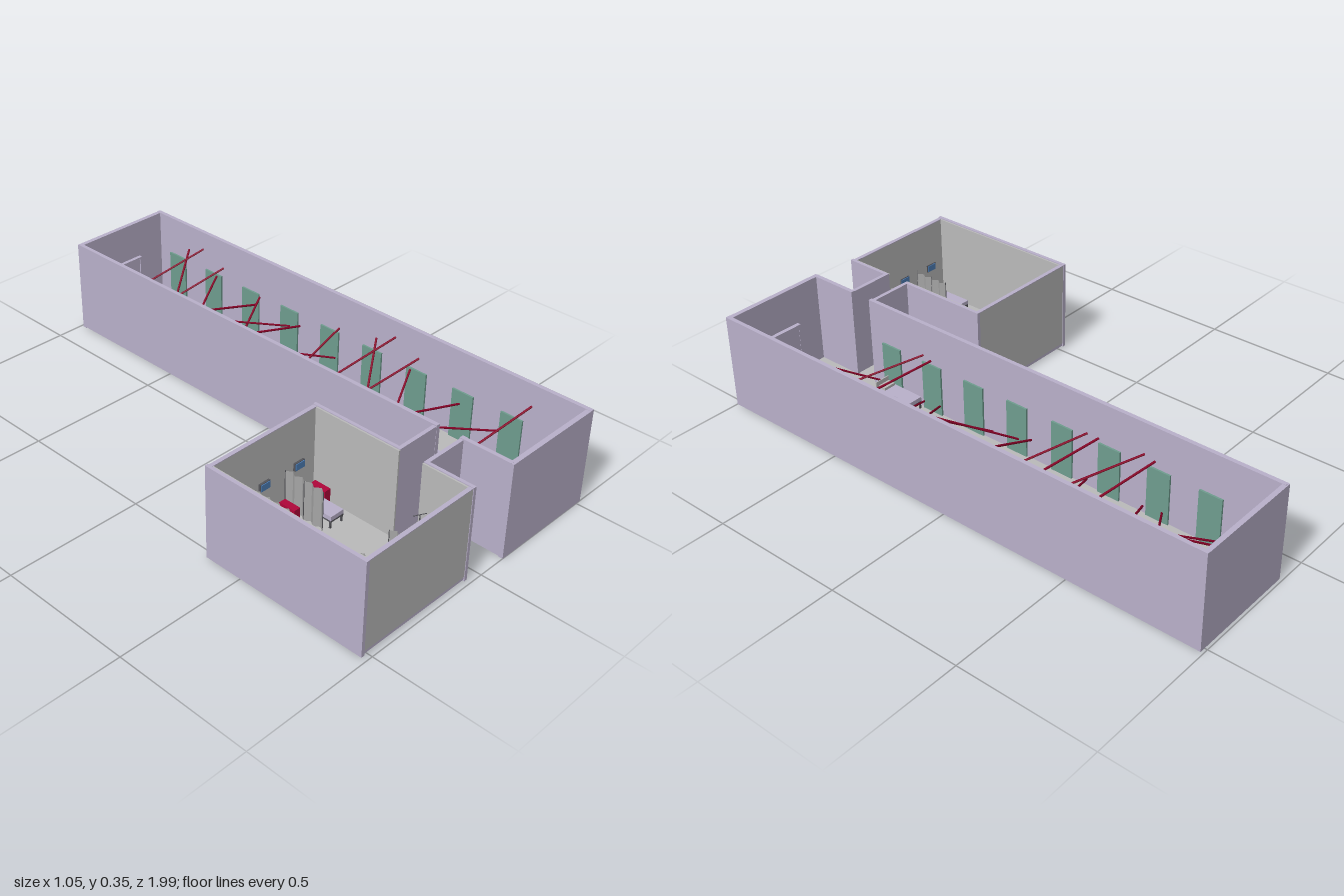
import * as THREE from 'three';

const mat = (name, color, side = THREE.FrontSide) => {
  const m = new THREE.MeshStandardMaterial({ color, side });
  m.name = name;
  return m;
};

export function createModel() {
  const lilac = mat('lilac wall', 0xbab1cb);
  const grey = mat('grey plaster', 0xbbbbbb);
  const cloth = mat('screen cloth', 0xa9a9a9, THREE.DoubleSide);
  const red = mat('crimson', 0xb0063a);
  const beamRed = mat('beam red', 0x8c0028);
  const green = mat('door green', 0x6f9d8f);
  const blue = mat('monitor blue', 0x4f7fb8);
  const metal = mat('dark metal', 0x55555a);

  const model = new THREE.Group();
  const group = (name, parent = model) => {
    const g = new THREE.Group();
    g.name = name;
    parent.add(g);
    return g;
  };
  // Box given by its lower and upper limits on each axis
  const box = (parent, name, m, x0, x1, y0, y1, z0, z1) => {
    const mesh = new THREE.Mesh(new THREE.BoxGeometry(x1 - x0, y1 - y0, z1 - z0), m);
    mesh.position.set((x0 + x1) / 2, (y0 + y1) / 2, (z0 + z1) / 2);
    mesh.name = name;
    parent.add(mesh);
    return mesh;
  };
  // Thin round bar between two points
  const bar = (parent, name, m, a, b, r) => {
    const p = new THREE.Vector3(...a), q = new THREE.Vector3(...b);
    const mesh = new THREE.Mesh(new THREE.CylinderGeometry(r, r, p.distanceTo(q), 6), m);
    mesh.position.copy(p).add(q).multiplyScalar(0.5);
    mesh.quaternion.setFromUnitVectors(new THREE.Vector3(0, 1, 0), q.sub(p).normalize());
    mesh.name = name;
    parent.add(mesh);
  };

  // Long hall, with a gap in one wall for the passage
  const hall = group('hall');
  box(hall, 'hallFloor', grey, 0.115, 0.51, 0.006, 0.016, -0.98, 0.985);
  box(hall, 'carpet', lilac, 0.22, 0.4, 0.016, 0.019, -0.96, 0.96);
  box(hall, 'hallRightWall', lilac, 0.505, 0.52, 0, 0.353, -0.99, 1);
  box(hall, 'hallLeftWallLong', lilac, 0.107, 0.122, 0.003, 0.353, -0.985, 0.713);
  box(hall, 'hallLeftWallShort', lilac, 0.107, 0.122, 0.003, 0.353, 0.8, 0.99);
  box(hall, 'hallBackWall', lilac, 0.107, 0.505, 0, 0.352, -0.99, -0.973);
  box(hall, 'hallFrontWall', lilac, 0.107, 0.505, 0, 0.352, 0.982, 1);

  // Green doors along both long walls
  for (let i = 0; i < 10; i++) {
    const zr = 0.92 - i * 0.199;
    box(hall, 'sideDoor', green, 0.498, 0.506, 0.016, 0.205, zr - 0.043, zr + 0.043);
    if (i < 9) {
      const zl = 0.61 - i * 0.193;
      box(hall, 'sideDoor', green, 0.121, 0.129, 0.016, 0.205, zl - 0.043, zl + 0.043);
    }
  }

  // Framed end doors
  for (const z of [-0.967, 0.974]) {
    const f = group('endDoor', hall);
    box(f, 'endDoorPanel', lilac, 0.235, 0.385, 0.016, 0.2, z - 0.007, z + 0.003);
    for (const x of [0.228, 0.383]) box(f, 'endDoorPost', lilac, x, x + 0.009, 0.016, 0.209, z - 0.008, z + 0.008);
    box(f, 'endDoorLintel', lilac, 0.228, 0.392, 0.2, 0.209, z - 0.008, z + 0.008);
  }

  // Crossing beams: start z, start y, end z, end y
  const beams = [
    [-0.94, 0.07, -0.72, 0.29], [-0.8, 0.05, -0.61, 0.25], [-0.565, 0.05, -0.8, 0.26],
    [-0.49, 0.04, -0.65, 0.2], [-0.53, 0.23, -0.44, 0.16], [-0.49, 0.24, -0.265, 0.14],
    [-0.265, 0.04, -0.42, 0.2], [-0.31, 0.22, -0.215, 0.16], [-0.265, 0.22, -0.04, 0.1],
    [-0.03, 0.09, -0.025, 0.23], [0.02, 0.07, 0.23, 0.3], [0.14, 0.05, 0.335, 0.26],
    [0.385, 0.05, 0.145, 0.26], [0.46, 0.04, 0.3, 0.2], [0.42, 0.22, 0.515, 0.16],
    [0.455, 0.23, 0.68, 0.13], [0.62, 0.05, 0.795, 0.28],
  ];
  const beamGroup = group('beams', hall);
  for (const [z0, y0, z1, y1] of beams) bar(beamGroup, 'beam', beamRed, [0.124, y0, z0], [0.495, y1, z1], 0.004);

  // Passage between hall and ward
  const passage = group('passage');
  box(passage, 'passageFloor', grey, -0.06, 0.115, 0.006, 0.016, 0.7, 0.815);
  box(passage, 'passageBackWall', lilac, -0.055, 0.108, 0.004, 0.35, 0.698, 0.712);
  box(passage, 'passageFrontWall', lilac, -0.055, 0.108, 0.004, 0.35, 0.801, 0.815);

  // Ward: grey end walls, lilac side walls lined in grey
  const ward = group('ward');
  box(ward, 'wardFloor', grey, -0.525, -0.055, 0.008, 0.02, 0.365, 0.98);
  box(ward, 'wardLeftWall', lilac, -0.53, -0.517, 0.006, 0.35, 0.36, 0.985);
  box(ward, 'wardLeftLining', grey, -0.517, -0.511, 0.02, 0.347, 0.37, 0.975);
  for (const [z0, z1, l0, l1] of [[0.36, 0.712, 0.37, 0.712], [0.801, 0.985, 0.801, 0.975]]) {
    box(ward, 'wardRightWall', lilac, -0.064, -0.052, 0.004, 0.35, z0, z1);
    box(ward, 'wardRightLining', grey, -0.07, -0.064, 0.02, 0.347, l0, l1);
  }
  for (const [z0, z1] of [[0.362, 0.377], [0.968, 0.983]]) {
    box(ward, 'wardEndWall', grey, -0.517, -0.064, 0.02, 0.345, z0, z1);
    box(ward, 'wardEndCap', lilac, -0.517, -0.064, 0.345, 0.348, z0, z1);
    box(ward, 'wardEndSill', lilac, -0.517, -0.064, 0.008, 0.02, z0 + 0.002, z1 - 0.002);
  }

  // Bed with its head towards local -z
  const bed = (parent, x, z, turn, monitor) => {
    const g = group('bed', parent);
    g.position.set(x, 0.018, z);
    g.rotation.y = turn;
    box(g, 'bedFrame', metal, -0.029, 0.029, 0.026, 0.032, -0.08, 0.08);
    box(g, 'mattress', lilac, -0.029, 0.029, 0.032, 0.048, -0.078, 0.08);
    box(g, 'pillow', grey, -0.024, 0.024, 0.048, 0.058, -0.074, -0.044);
    box(g, 'headboard', grey, -0.03, 0.03, 0.02, 0.07, -0.084, -0.08);
    for (const sx of [-0.026, 0.026])
      for (const sz of [-0.075, 0.075]) box(g, 'bedLeg', metal, sx - 0.003, sx + 0.003, 0, 0.026, sz - 0.003, sz + 0.003);
    if (monitor) {
      box(g, 'monitor', metal, -0.022, 0.022, 0.135, 0.163, -0.095, -0.082);
      box(g, 'monitorScreen', blue, -0.02, 0.02, 0.137, 0.161, -0.082, -0.079);
    }
  };
  // Folded screen made by pushing every other column sideways
  const screen = (x, z0, z1) => {
    const g = group('foldingScreen', ward);
    const geo = new THREE.PlaneGeometry(z1 - z0, 0.15, 8, 1).rotateY(Math.PI / 2);
    const p = geo.attributes.position;
    for (let i = 0; i < p.count; i++) p.setX(i, (i % 9) % 2 ? 0.007 : -0.007);
    const flat = geo.toNonIndexed();
    flat.computeVertexNormals();
    const mesh = new THREE.Mesh(flat, cloth);
    mesh.name = 'screenCloth';
    mesh.position.set(x, 0.11, (z0 + z1) / 2);
    g.add(mesh);
    for (const z of [z0, (z0 + z1) / 2, z1]) bar(g, 'screenPost', metal, [x - 0.007, 0.02, z], [x - 0.007, 0.187, z], 0.0015);
  };
  // Drip stand on a crossed foot
  const stand = (x, z) => {
    const g = group('dripStand', ward);
    bar(g, 'standPole', metal, [x, 0.02, z], [x, 0.19, z], 0.002);
    for (const [dx, dz] of [[0.026, 0.022], [-0.018, 0.032]]) {
      bar(g, 'standFoot', metal, [x - dx, 0.024, z - dz], [x + dx, 0.024, z + dz], 0.002);
    }
    bar(g, 'standHook', metal, [x - 0.02, 0.19, z - 0.01], [x + 0.02, 0.19, z + 0.01], 0.0015);
  };

  for (const x of [-0.413, -0.3, -0.145]) bed(ward, x, 0.467, 0, true);
  for (const x of [-0.445, -0.3, -0.16]) bed(ward, x, 0.882, Math.PI, true);
  for (const x of [-0.48, -0.24, -0.1]) box(ward, 'nightstand', red, x - 0.013, x + 0.013, 0.02, 0.088, 0.4, 0.465);
  for (const x of [-0.39, -0.24, -0.1]) box(ward, 'nightstand', red, x - 0.013, x + 0.013, 0.02, 0.088, 0.895, 0.96);
  for (const x of [-0.355, -0.21]) {
    screen(x, 0.39, 0.55);
    screen(x, 0.81, 0.96);
  }
  stand(-0.476, 0.53);
  stand(-0.1, 0.83);

  // Spare bed left in the hall
  bed(hall, 0.17, 0.54, Math.PI, false);

  return model;
}
